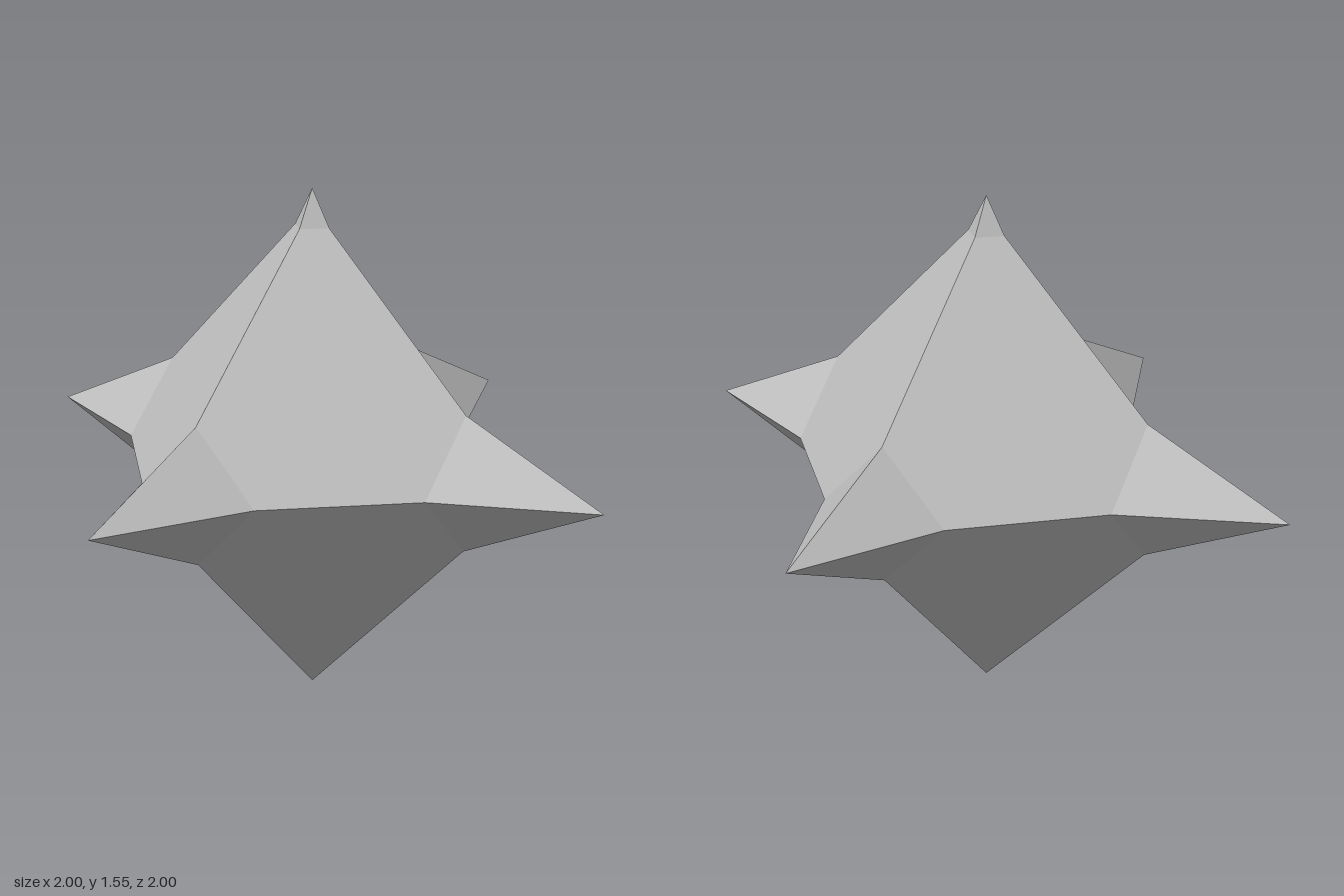
import * as THREE from 'three';

export function createModel() {
  const model = new THREE.Group();
  const grey = new THREE.MeshStandardMaterial({ color: 0xbcbcbc, flatShading: true });
  grey.name = 'light grey';

  const radius = 0.75; // body radius, also the height of its centre

  // Eight-sided core standing on its lower point
  const body = new THREE.Mesh(new THREE.OctahedronGeometry(radius), grey);
  body.name = 'body';
  body.position.y = radius;
  model.add(body);

  // Four-sided spike over one body corner; its base matches the body's cross-section there
  function addSpike(name, direction, halfWidth, tip) {
    const base = radius - halfWidth;
    const geometry = new THREE.ConeGeometry(halfWidth, tip - base, 4, 1, true);
    geometry.translate(0, (base + tip) / 2, 0);
    const spike = new THREE.Mesh(geometry, grey);
    spike.name = name;
    spike.quaternion.setFromUnitVectors(new THREE.Vector3(0, 1, 0), direction);
    spike.position.y = radius;
    model.add(spike);
  }

  // Long spikes around the middle and a small one on top
  addSpike('leftSpike', new THREE.Vector3(1, 0, 0), 0.205, 1);
  addSpike('rightSpike', new THREE.Vector3(-1, 0, 0), 0.205, 1);
  addSpike('frontSpike', new THREE.Vector3(0, 0, 1), 0.205, 1);
  addSpike('backSpike', new THREE.Vector3(0, 0, -1), 0.205, 1);
  addSpike('topSpike', new THREE.Vector3(0, 1, 0), 0.062, 0.8);

  return model;
}
